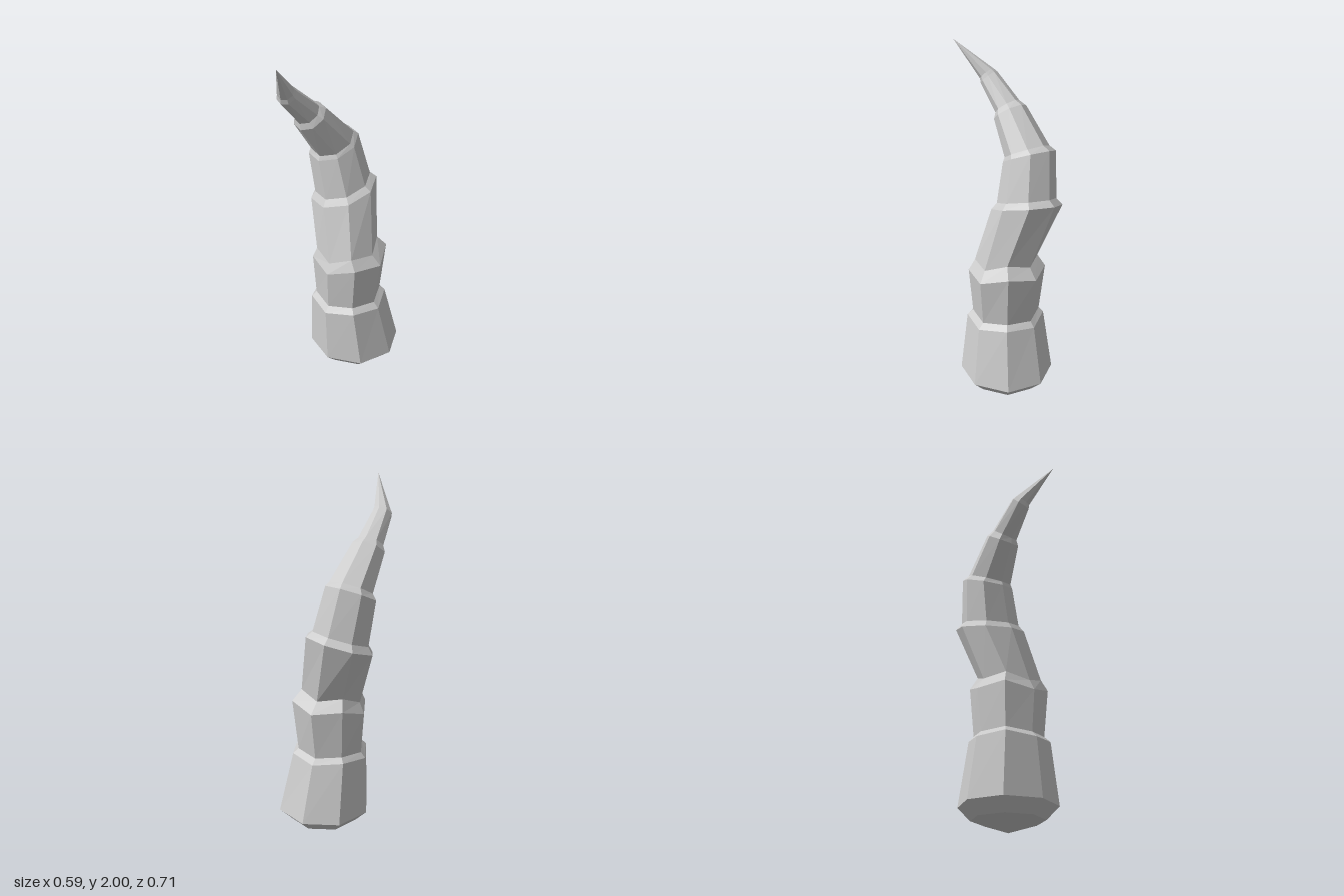
import * as THREE from 'three';

const SIDES = 8;
const PHASE = THREE.MathUtils.degToRad(17);

// Rings from root to tip: [centre x, y, z, radius, tilt x, tilt z, zigzag]
const RINGS = [
  // blunt root
  [0.04, 0.005, -0.09, 0, 0, 0, 0],
  [0.04, 0.07, -0.09, 0.20, 0, 0, 0],
  [0.04, 0.14, -0.09, 0.27, 0, 0, 0],
  // each segment ends in a lip, followed by a narrower neck
  [0.008, 0.475, -0.065, 0.222, 0, 0.03, 0.008],
  [0.005, 0.505, -0.067, 0.192, 0, 0.03, 0.006],
  [0.012, 0.77, -0.075, 0.218, -0.08, 0.1, 0.016],
  [0.0, 0.83, -0.065, 0.178, -0.1, 0.13, 0.016],
  [-0.06, 1.15, -0.16, 0.197, -0.25, 0.2, 0],
  [-0.065, 1.185, -0.155, 0.165, -0.25, 0.22, 0],
  [-0.115, 1.425, -0.145, 0.148, -0.25, 0.38, 0],
  [-0.115, 1.45, -0.13, 0.126, -0.25, 0.45, 0],
  [-0.187, 1.635, 0.008, 0.096, -0.28, 0.65, 0],
  [-0.195, 1.662, 0.028, 0.074, -0.26, 0.75, 0],
  [-0.242, 1.80, 0.165, 0.056, -0.1, 0.9, 0],
  [-0.24, 1.82, 0.178, 0.047, -0.05, 0.9, 0],
  // sharp tip
  [-0.197, 2.0, 0.36, 0, 0, 0, 0],
];

function buildHorn(rings) {
  const positions = [];
  const indices = [];
  const up = new THREE.Vector3(0, 1, 0);
  const turn = new THREE.Quaternion();
  const p = new THREE.Vector3();
  rings.forEach(([x, y, z, r, tx, tz, zig], k) => {
    turn.setFromUnitVectors(up, new THREE.Vector3(tx, 1, tz).normalize());
    for (let i = 0; i < SIDES; i++) {
      const a = PHASE + (i / SIDES) * Math.PI * 2;
      p.set(Math.cos(a) * r, i % 2 ? zig : -zig, Math.sin(a) * r).applyQuaternion(turn);
      positions.push(p.x + x, p.y + y, p.z + z);
      if (k === 0) continue;
      const j = (i + 1) % SIDES;
      const low = (k - 1) * SIDES;
      const high = k * SIDES;
      // a ring of zero radius needs only one triangle per side
      if (rings[k - 1][3] > 0) indices.push(low + i, high + i, low + j);
      if (r > 0) indices.push(low + j, high + i, high + j);
    }
  });
  const indexed = new THREE.BufferGeometry();
  indexed.setAttribute('position', new THREE.Float32BufferAttribute(positions, 3));
  indexed.setIndex(indices);
  const geometry = indexed.toNonIndexed();
  geometry.computeVertexNormals();
  return geometry;
}

export function createModel() {
  const group = new THREE.Group();
  group.name = 'hornModel';
  const material = new THREE.MeshStandardMaterial({ color: 0xcccccc, flatShading: true });
  const horn = new THREE.Mesh(buildHorn(RINGS), material);
  horn.name = 'segmentedHorn';
  group.add(horn);
  return group;
}
